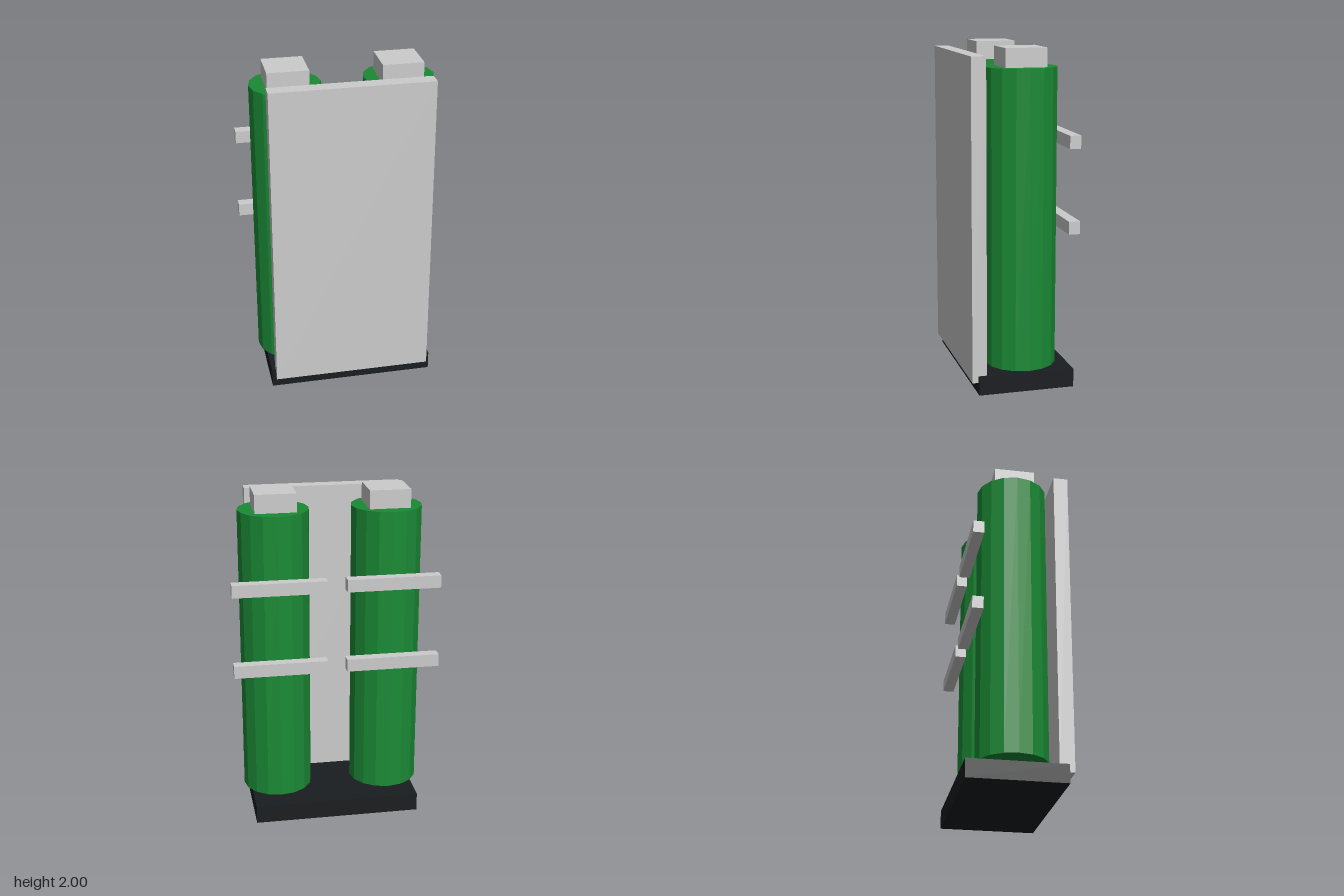
import * as THREE from 'three';

export function createModel() {
  const model = new THREE.Group();
  const grey = new THREE.MeshStandardMaterial({ color: 0xcccccc });
  const black = new THREE.MeshStandardMaterial({ color: 0x1a1d20 });
  const green = new THREE.MeshStandardMaterial({ color: 0x1a8a35, flatShading: true });

  const add = (name, geometry, material, x, y, z) => {
    const mesh = new THREE.Mesh(geometry, material);
    mesh.name = name;
    mesh.position.set(x, y, z);
    model.add(mesh);
  };
  // Box given by its minimum and maximum corners
  const box = (name, material, [x0, y0, z0], [x1, y1, z1]) =>
    add(name, new THREE.BoxGeometry(x1 - x0, y1 - y0, z1 - z0), material,
      (x0 + x1) / 2, (y0 + y1) / 2, (z0 + z1) / 2);

  // Base slab and upright front panel
  box('base', black, [-0.5, 0, -0.305], [0.5, 0.11, 0.27]);
  box('frontPanel', grey, [-0.477, 0.07, 0.218], [0.477, 1.96, 0.305]);

  for (const [side, s] of [['left', 1], ['right', -1]]) {
    // Tall tank with a square cap, floating just above the base
    add(side + 'Tank', new THREE.CylinderGeometry(0.21, 0.21, 1.75, 16), green, s * 0.335, 1.015, -0.02);
    add(side + 'Cap', new THREE.BoxGeometry(0.243, 0.11, 0.243), grey, s * 0.333, 1.945, -0.02);

    // Two horizontal bars across the back of each tank
    for (const [level, y] of [['Lower', 0.993], ['Upper', 1.483]])
      add(side + level + 'Bar', new THREE.BoxGeometry(0.553, 0.075, 0.065), grey, s * 0.333, y, -0.262);
  }
  return model;
}
